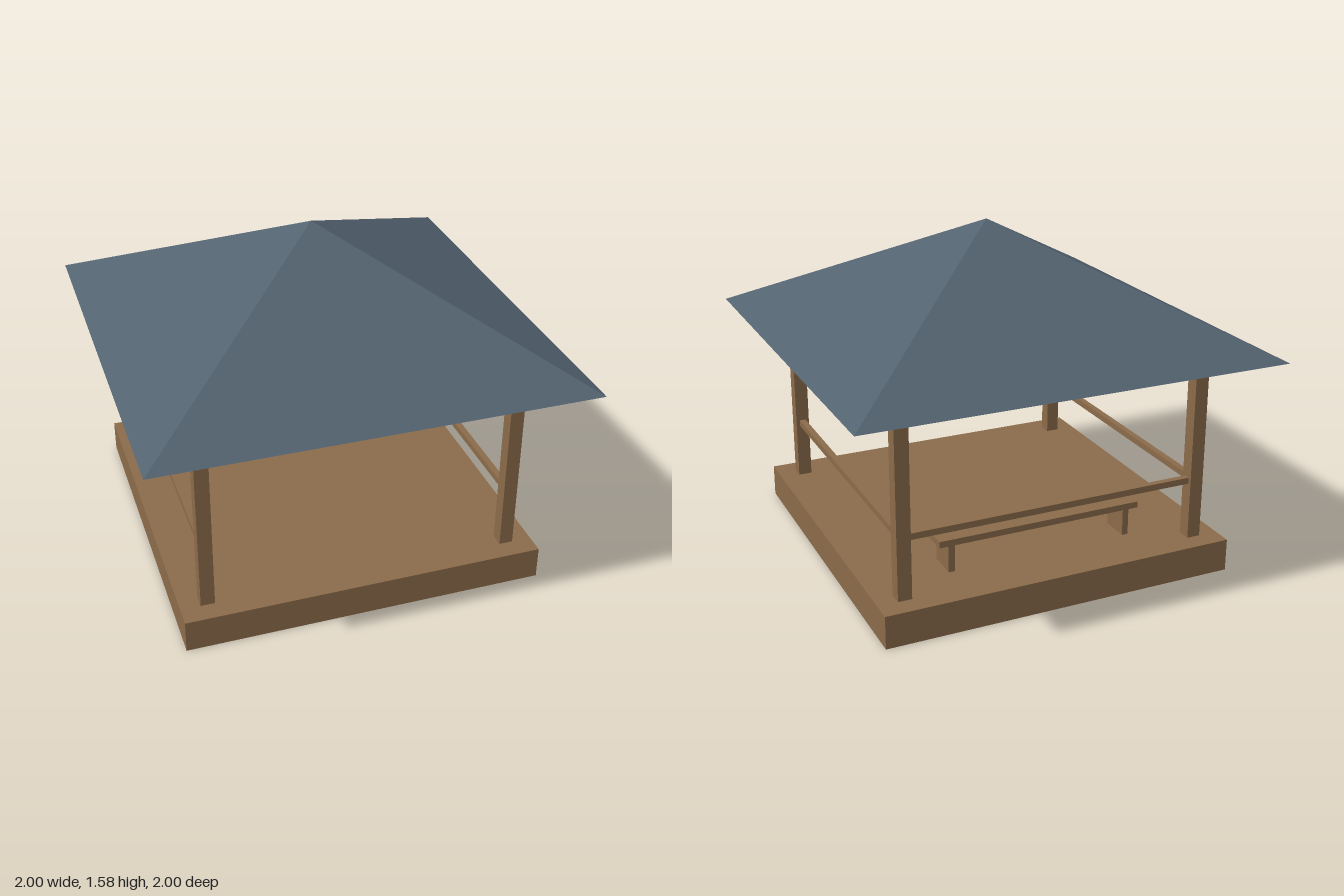
import * as THREE from 'three';

export function createModel() {
  const group = new THREE.Group();
  group.name = 'pavilion';

  const wood = new THREE.MeshStandardMaterial({ color: 0x8b6b4a, flatShading: true, side: THREE.DoubleSide });
  wood.name = 'wood';
  const slate = new THREE.MeshStandardMaterial({ color: 0x536270, flatShading: true, side: THREE.DoubleSide });
  slate.name = 'slate';

  // Box standing on height y
  function box(name, w, h, d, x, y, z, parent = group) {
    const mesh = new THREE.Mesh(new THREE.BoxGeometry(w, h, d), wood);
    mesh.name = name;
    mesh.position.set(x, y + h / 2, z);
    parent.add(mesh);
    return mesh;
  }

  // Platform: hollow underneath, so the bottom face is dropped
  const floor = 0.155;
  const platform = box('platform', 1.69, floor, 1.69, 0, 0, 0).geometry;
  const index = Array.from(platform.index.array);
  index.splice(18, 6);
  platform.setIndex(index);
  platform.clearGroups();

  // Corner posts
  const eaves = 1.05, post = 0.72, thick = 0.065;
  for (const x of [-post, post])
    for (const z of [-post, post])
      box('post', thick, eaves - floor, thick, x, floor, z);

  // Rails on both sides and the back; the front stays open
  const span = 2 * post - thick;
  for (const x of [-post, post]) box('sideRail', 0.03, 0.03, span, x, 0.425, 0);
  box('backRail', span, 0.03, 0.03, 0, 0.425, -post);

  // Bench along the back
  const bench = new THREE.Group();
  bench.name = 'bench';
  group.add(bench);
  box('benchSeat', 1, 0.03, 0.15, 0, 0.285, -0.53, bench);
  for (const x of [-0.44, 0.44]) box('benchLeg', 0.03, 0.285 - floor, 0.14, x, floor, -0.53, bench);

  // Pyramid roof, open below
  const rise = 0.53;
  const cone = new THREE.ConeGeometry(Math.SQRT2, rise, 4, 1, true);
  cone.rotateY(Math.PI / 4);
  const roof = new THREE.Mesh(cone, slate);
  roof.name = 'roof';
  roof.position.y = eaves + rise / 2;
  group.add(roof);

  return group;
}
